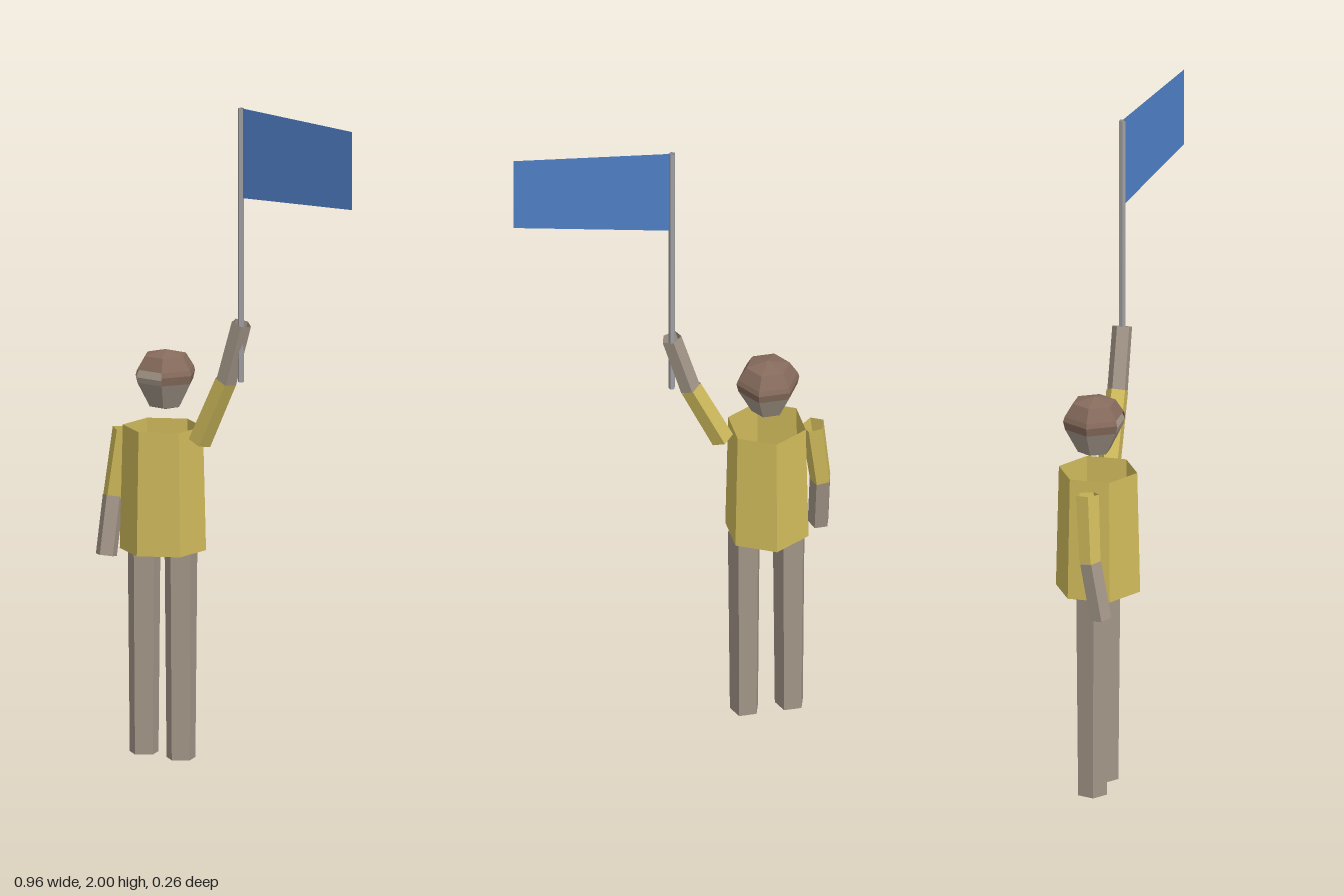
import * as THREE from 'three';

const paint = (name, color) => {
  const m = new THREE.MeshStandardMaterial({ color, flatShading: true, side: THREE.DoubleSide });
  m.name = name;
  return m;
};

export function createModel() {
  const shirt = paint('shirt yellow', 0xd0bb5c);
  const skin = paint('taupe', 0xa39688);
  const hair = paint('hair brown', 0x866b5c);
  const steel = paint('pole grey', 0xa0a0a2);
  const cloth = paint('flag blue', 0x5081c8);

  const group = new THREE.Group();
  const add = (name, geometry, material, parent = group) => {
    const mesh = new THREE.Mesh(geometry, material);
    mesh.name = name;
    parent.add(mesh);
    return mesh;
  };

  // Open tapered tube running from point a to point b
  const tube = (name, a, b, ra, rb, sides, material, start = 0) => {
    const from = new THREE.Vector3(...a), to = new THREE.Vector3(...b);
    const dir = to.clone().sub(from);
    const geo = new THREE.CylinderGeometry(rb, ra, dir.length(), sides, 1, true, start);
    const mesh = add(name, geo, material);
    mesh.position.copy(from).add(to).multiplyScalar(0.5);
    mesh.quaternion.setFromUnitVectors(new THREE.Vector3(0, 1, 0), dir.normalize());
  };

  // Body and legs
  const cx = -0.278;
  tube('torso', [cx, 0.625, 0], [cx, 1, 0], 0.129, 0.12, 6, shirt);
  for (const [side, x] of [['right', -0.348], ['left', -0.211]]) {
    tube(side + 'Leg', [x, 0, 0], [x, 0.625, 0], 0.045, 0.051, 5, skin);
  }

  // Lowered right arm
  tube('rightUpperArm', [-0.447, 0.768, 0.018], [-0.42, 0.972, 0.003], 0.033, 0.036, 5, shirt);
  tube('rightForearm', [-0.449, 0.594, 0.052], [-0.447, 0.77, 0.02], 0.033, 0.033, 5, skin);

  // Raised left arm
  tube('leftUpperArm', [-0.141, 0.97, 0], [-0.044, 1.167, 0], 0.036, 0.034, 5, shirt, Math.PI);
  tube('leftForearm', [-0.043, 1.163, 0], [0.014, 1.348, 0], 0.032, 0.031, 5, skin, Math.PI);

  // Head: stacked six-sided bands, with the front facet of the hairline left bare
  const head = new THREE.Group();
  head.name = 'head';
  head.position.set(cx, 0, -0.012);
  group.add(head);
  const band = (name, y0, r0, y1, r1, material, first = 0, count = 6) => {
    const geo = new THREE.CylinderGeometry(r1, r0, y1 - y0, count, 1, true,
      (first - 0.5) * Math.PI / 3, count * Math.PI / 3);
    add(name, geo, material, head).position.y = (y0 + y1) / 2;
  };
  band('chin', 1.048, 0, 1.06, 0.05, skin);
  band('jaw', 1.06, 0.05, 1.135, 0.09, skin);
  band('brow', 1.135, 0.09, 1.152, 0.094, skin, 0, 1);
  band('forehead', 1.152, 0.094, 1.175, 0.084, skin, 0, 1);
  band('hairSides', 1.135, 0.09, 1.16, 0.096, hair, 1, 5);
  band('hairCrown', 1.16, 0.096, 1.175, 0.091, hair, 1, 5);
  band('hairCap', 1.175, 0.091, 1.214, 0.066, hair);
  band('hairTop', 1.214, 0.066, 1.23, 0, hair);

  // Flagpole
  tube('flagPole', [0.012, 1.17, 0], [0.012, 2, 0], 0.01, 0.01, 5, steel);

  // Flag: a single sheet angled slightly forward, with a sloping lower edge
  const flag = new THREE.PlaneGeometry(1, 1);
  const p = flag.attributes.position;
  for (let i = 0; i < p.count; i++) {
    const u = p.getX(i) + 0.5, top = p.getY(i) > 0;
    p.setXYZ(i, 0.018 + 0.46 * u, top ? 2 : 1.728 + 0.035 * u, 0.07 * u);
  }
  flag.computeVertexNormals();
  add('flag', flag, cloth);

  return group;
}
